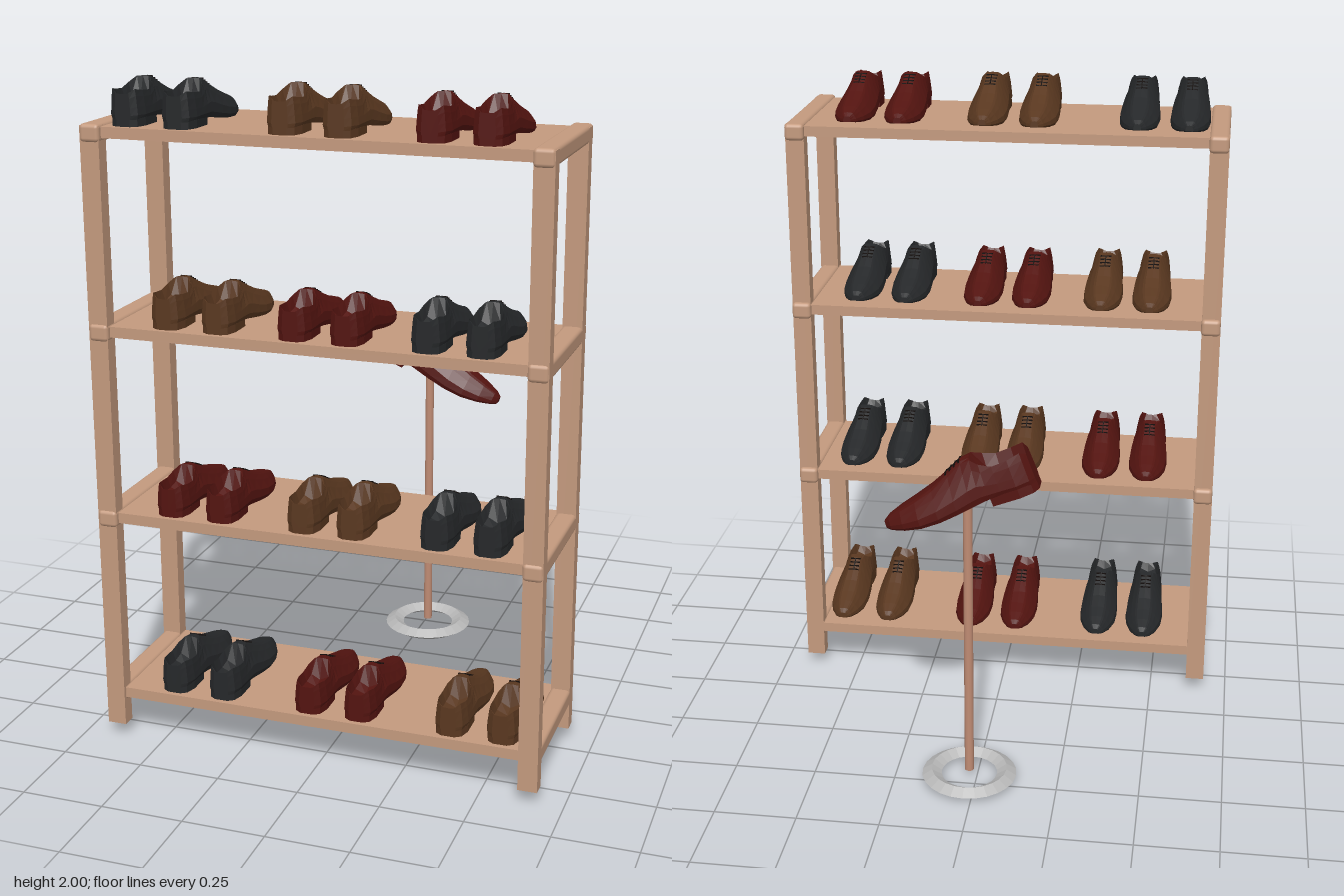
import * as THREE from 'three';
import { RoundedBoxGeometry } from 'three/addons/geometries/RoundedBoxGeometry.js';

const mat = (color, flatShading = false) =>
  new THREE.MeshStandardMaterial({ color, flatShading, side: THREE.DoubleSide });

function add(parent, name, geometry, material, x = 0, y = 0, z = 0) {
  const mesh = new THREE.Mesh(geometry, material);
  mesh.name = name;
  mesh.position.set(x, y, z);
  parent.add(mesh);
  return mesh;
}

// Shoe stations, heel to toe: [x, half width, bottom, rim height, rim half width, centre height]
const STATIONS = [
  [0, 0.024, 0.02, 0.094, 0.02, 0.09],
  [0.012, 0.041, 0.02, 0.104, 0.034, 0.062],
  [0.045, 0.050, 0.02, 0.098, 0.041, 0.05],
  [0.085, 0.052, 0.022, 0.095, 0.042, 0.05],
  [0.115, 0.053, 0.02, 0.108, 0.036, 0.06],
  [0.135, 0.054, 0.018, 0.121, 0.024, 0.126],
  [0.16, 0.056, 0.014, 0.116, 0.02, 0.124],
  [0.2, 0.06, 0.008, 0.095, 0.024, 0.104],
  [0.25, 0.062, 0.002, 0.074, 0.028, 0.082],
  [0.3, 0.058, 0, 0.059, 0.028, 0.065],
  [0.345, 0.045, 0.003, 0.047, 0.024, 0.052],
  [0.38, 0.027, 0.008, 0.036, 0.016, 0.04],
  [0.395, 0.012, 0.012, 0.028, 0.008, 0.03],
];

// Half section from the sole centre, up the side, over the rim to the middle
function section([x, w, b, top, rim, crown]) {
  const h = top - b;
  const half = [
    [0, b], [w * 0.92, b], [w, b + 0.15 * h], [w * 0.96, b + 0.42 * h],
    [w * 0.4 + rim * 0.6, b + 0.78 * h], [rim, top],
    [rim * 0.75, top + (crown - top) * 0.7], [0, crown],
  ];
  const mirrored = half.slice(1, -1).reverse().map(([z, y]) => [-z, y]);
  return [...half, ...mirrored].map(([z, y]) => [x, y, z]);
}

function loft(rings) {
  const n = rings[0].length, last = (rings.length - 1) * n, index = [];
  for (let i = 0; i < rings.length - 1; i++) {
    for (let j = 0; j < n; j++) {
      const a = i * n + j, b = i * n + (j + 1) % n;
      index.push(a, a + n, b + n, a, b + n, b);
    }
  }
  for (let j = 1; j < n - 1; j++) {
    index.push(0, j, j + 1, last, last + j + 1, last + j);
  }
  const g = new THREE.BufferGeometry();
  g.setAttribute('position', new THREE.Float32BufferAttribute(rings.flat(2), 3));
  g.setIndex(index);
  g.computeVertexNormals();
  return g;
}

function heelBlock() {
  const s = new THREE.Shape();
  s.moveTo(0.115, -0.048);
  s.lineTo(0.115, 0.048);
  s.lineTo(0.045, 0.048);
  s.lineTo(0.012, 0.038);
  s.lineTo(0, 0.02);
  s.lineTo(0, -0.02);
  s.lineTo(0.012, -0.038);
  s.lineTo(0.045, -0.048);
  const g = new THREE.ExtrudeGeometry(s, { depth: 0.023, bevelEnabled: false });
  return g.rotateX(Math.PI / 2).translate(0, 0.023, 0);
}

export function createModel() {
  const model = new THREE.Group();
  model.name = 'shoeRack';
  const wood = mat(0xc49a7e);
  const poleWood = mat(0xc08c74);
  const metal = mat(0xb8b8b8, true);
  const laceMat = mat(0x120c0a);
  const leather = { black: mat(0x26282a, true), brown: mat(0x5a3820, true), red: mat(0x541410, true) };

  const upper = loft(STATIONS.map(section));
  const heel = heelBlock();
  const lace = new THREE.BoxGeometry(0.004, 0.004, 0.034);
  const laceRun = new THREE.BoxGeometry(0.05, 0.004, 0.003);

  function shoe(colour) {
    const g = new THREE.Group();
    g.name = colour + 'Shoe';
    add(g, 'upper', upper, leather[colour]);
    add(g, 'heel', heel, leather[colour]);
    for (let i = 0; i < 4; i++) {
      add(g, 'lace', lace, laceMat, 0.163 + i * 0.014, 0.121 - i * 0.007, 0);
    }
    add(g, 'laceRun', laceRun, laceMat, 0.186, 0.111, 0).rotation.z = -0.46;
    return g;
  }

  // Corner posts
  for (const x of [-0.648, 0.645]) {
    for (const z of [0.176, 0.58]) {
      add(model, 'post', new THREE.BoxGeometry(0.058, 1.835, 0.044), wood, x, 0.958, z);
    }
  }

  // Shelves with side rails and their pairs of shoes: [shelf top, [colour, x of each shoe]...]
  const rows = [
    [0.16, ['black', -0.465, -0.31], ['red', -0.035, 0.12], ['brown', 0.4, 0.555]],
    [0.73, ['red', -0.46, -0.305], ['brown', -0.05, 0.1], ['black', 0.35, 0.505]],
    [1.3, ['brown', -0.455, -0.3], ['red', -0.07, 0.085], ['black', 0.32, 0.475]],
    [1.873, ['black', -0.555, -0.4], ['brown', -0.09, 0.07], ['red', 0.33, 0.485]],
  ];
  rows.forEach(([top, ...pairs], level) => {
    add(model, 'shelf', new THREE.BoxGeometry(1.25, 0.032, 0.435), wood, 0, top - 0.016, 0.373);
    const depth = level ? 0.47 : 0.44;
    for (const x of [-0.647, 0.644]) {
      add(model, 'sideRail', new RoundedBoxGeometry(0.06, 0.052, depth, 2, 0.012),
        wood, x, top - 0.018, level ? 0.373 : 0.378);
    }
    for (const [colour, ...xs] of pairs) {
      for (const x of xs) {
        const s = shoe(colour);
        s.position.set(x, top, 0.575);
        s.rotation.y = Math.PI / 2;
        if (colour === 'red') s.scale.y = 0.95;
        model.add(s);
      }
    }
  });

  // Display stand behind the rack: ring base, pole and one tilted shoe
  const ring = [[0.085, 0.018], [0.115, 0], [0.145, 0.018], [0.115, 0.037], [0.085, 0.018]]
    .map(([r, y]) => new THREE.Vector2(r, y));
  add(model, 'standRing', new THREE.LatheGeometry(ring, 24), metal, 0.022, 0, -0.465);
  add(model, 'standPole', new THREE.CylinderGeometry(0.014, 0.014, 0.93, 12), poleWood, 0.022, 0.495, -0.465);
  const shown = shoe('red');
  shown.name = 'displayShoe';
  shown.position.set(-0.19, 1.0, -0.47);
  shown.rotation.z = -0.37;
  shown.scale.setScalar(1.2);
  model.add(shown);

  return model;
}
